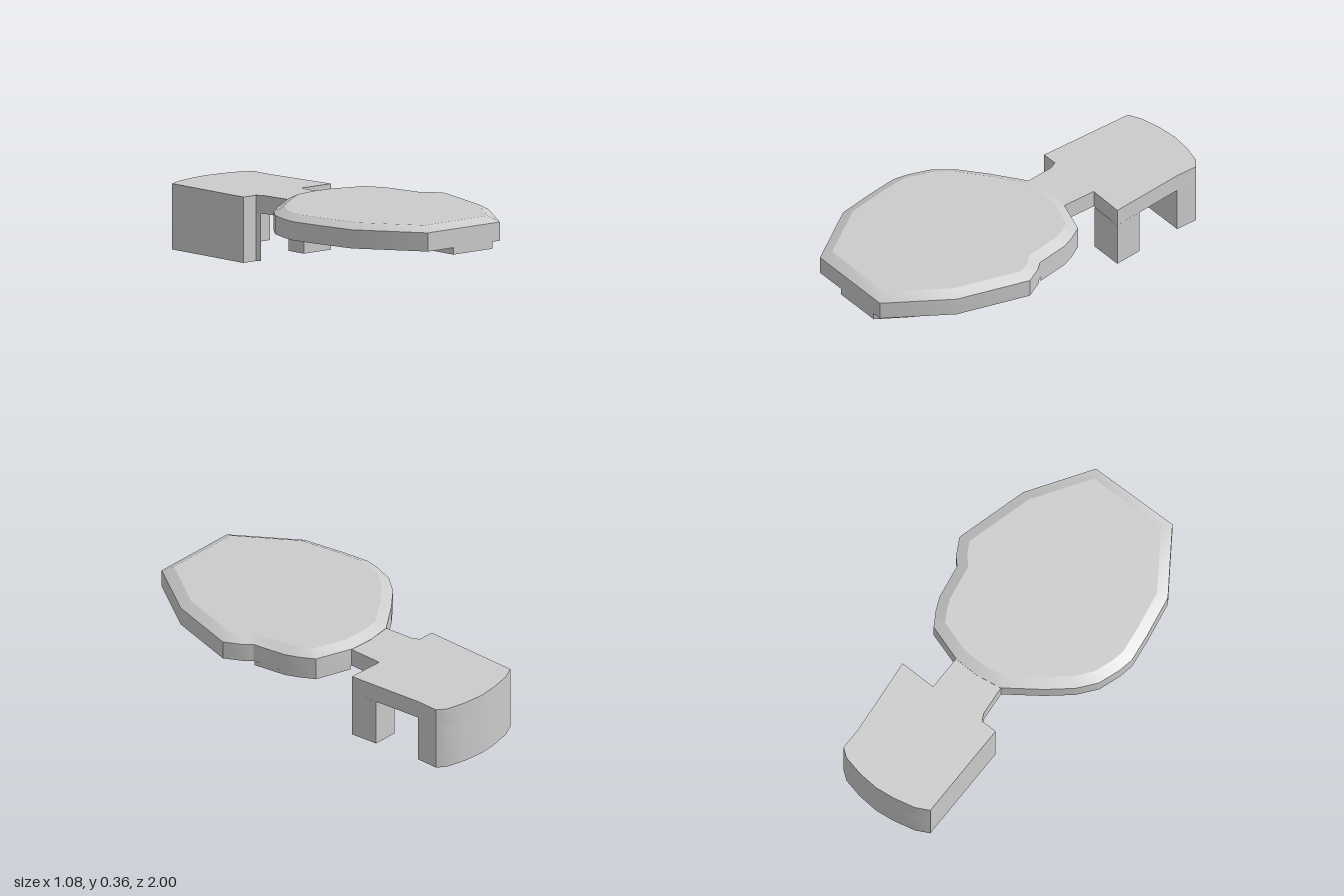
import * as THREE from 'three';
import { toCreasedNormals } from 'three/addons/utils/BufferGeometryUtils.js';

const material = new THREE.MeshStandardMaterial({ color: 0xcccccc });

// Upright prism from an [x, z] outline, with an optional bevel along its top edge
function prism(name, outline, y0, y1, bevelIn = 0, bevelHeight = 0) {
  const shape = new THREE.Shape(outline.map(([x, z]) => new THREE.Vector2(x, -z)));
  const geometry = new THREE.ExtrudeGeometry(shape, {
    depth: y1 - y0 - bevelHeight,
    bevelEnabled: bevelIn > 0,
    bevelSize: bevelIn,
    bevelOffset: -bevelIn,
    bevelThickness: bevelHeight,
    bevelSegments: 1,
  });
  geometry.rotateX(-Math.PI / 2);
  // Flatten the lower bevel so the underside stays square
  const p = geometry.attributes.position;
  for (let i = 0; i < p.count; i++) p.setY(i, Math.max(p.getY(i), 0) + y0);
  const mesh = new THREE.Mesh(toCreasedNormals(geometry, 0.45), material);
  mesh.name = name;
  return mesh;
}

export function createModel() {
  const model = new THREE.Group();
  model.name = 'pendantClip';

  // Faceted oval plate with a bevelled rim
  model.add(prism('plate', [
    [-0.26, 1], [0.22, 1], [0.43, 0.68], [0.535, 0.3], [0.487, 0.21], [0.45, 0.17],
    [0.42, -0.01], [0.39, -0.08], [0.345, -0.155], [0.15, -0.22], [0.02, -0.225],
    [-0.115, -0.205], [-0.29, -0.08], [-0.41, 0.02], [-0.485, 0.115],
    [-0.525, 0.23], [-0.54, 0.31], [-0.52, 0.46], [-0.48, 0.68],
  ], 0.24, 0.362, 0.055, 0.028));

  // Thickened rim under the rear left edge
  model.add(prism('rimStep', [
    [0.45, 0.165], [0.42, -0.01], [0.39, -0.08], [0.345, -0.155], [0.16, -0.215],
  ], 0.218, 0.24));

  // Stepped tab under the front edge
  model.add(prism('frontTab', [
    [-0.09, 1], [0.17, 1], [0.28, 0.83], [0.12, 0.83], [0.12, 0.69],
    [-0.03, 0.69], [-0.03, 0.8], [-0.09, 0.8],
  ], 0.205, 0.24));

  // Rounded back edge shared by the clip top and its wall
  const back = [
    [-0.235, -0.93], [-0.165, -0.965], [-0.05, -0.99], [0.05, -1],
    [0.16, -0.99], [0.265, -0.965], [0.31, -0.93], [0.31, -0.81],
  ];

  const clip = new THREE.Group();
  clip.name = 'clip';
  // Top slab and the neck that joins it to the plate
  clip.add(prism('clipTop', [
    [-0.235, -0.4], ...back, [0.35, -0.4], [0.155, -0.405], [0.155, -0.19],
    [-0.115, -0.19], [-0.13, -0.36], [-0.15, -0.4],
  ], 0.24, 0.332));
  // Wall down the right side and around the back
  clip.add(prism('clipWall', [
    [-0.235, -0.4], ...back, [-0.115, -0.81], [-0.115, -0.45], [-0.137, -0.38], [-0.15, -0.4],
  ], 0, 0.24));
  // Post at the front left corner, with a chamfered inner edge
  clip.add(prism('clipPost', [
    [0.35, -0.4], [0.336, -0.55], [0.2, -0.55], [0.168, -0.515], [0.168, -0.4],
  ], 0, 0.24));
  model.add(clip);

  return model;
}
